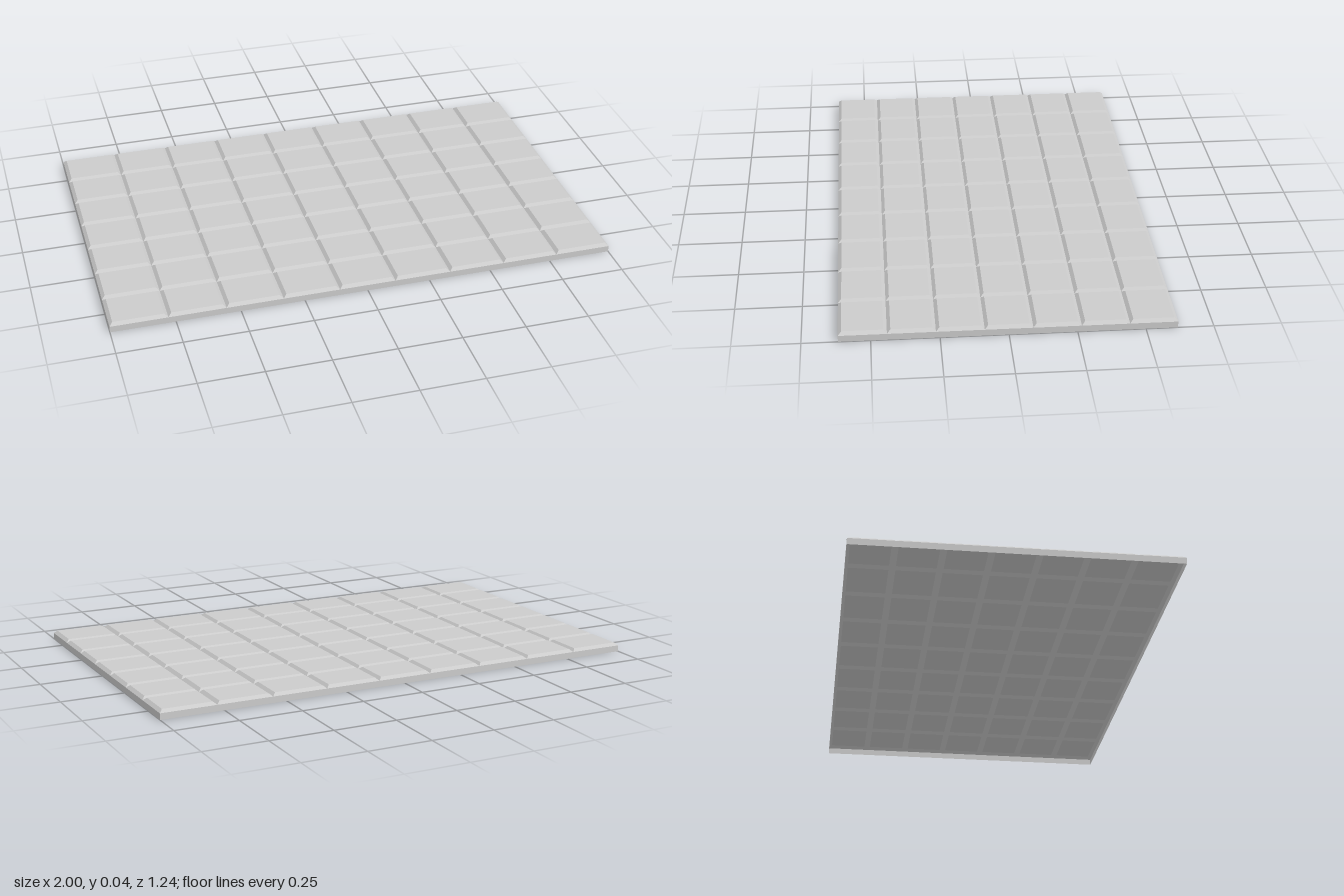
import * as THREE from 'three';

const COLS = 9, ROWS = 7;
const WIDTH = 2, DEPTH = 1.235;
const SKIRT = 0.025, HEIGHT = 0.036, BEVEL = 0.013;

// Box without the listed faces (0 +x, 1 -x, 2 +y, 3 -y, 4 +z, 5 -z), standing on y = 0
function openBox(w, h, d, removed) {
  const geo = new THREE.BoxGeometry(w, h, d).translate(0, h / 2, 0);
  const index = Array.from(geo.index.array);
  geo.setIndex(index.filter((_, i) => !removed.includes(Math.floor(i / 6))));
  geo.clearGroups();
  return geo;
}

// Open-bottomed tile cap whose top edge is pulled in to form the bevels
function bevelledTile(w, d) {
  const geo = openBox(w, HEIGHT - SKIRT, d, [3]);
  const p = geo.attributes.position;
  for (let i = 0; i < p.count; i++) {
    if (p.getY(i) > 0.001) {
      p.setX(i, p.getX(i) - Math.sign(p.getX(i)) * BEVEL);
      p.setZ(i, p.getZ(i) - Math.sign(p.getZ(i)) * BEVEL);
    }
  }
  geo.computeVertexNormals();
  return geo;
}

export function createModel() {
  const model = new THREE.Group();
  model.name = 'tiledPanel';
  const material = new THREE.MeshStandardMaterial({
    color: 0xcccccc, flatShading: true, side: THREE.DoubleSide,
  });

  // Thin wall around the hollow underside
  const skirt = new THREE.Mesh(openBox(WIDTH, SKIRT, DEPTH, [2, 3]), material);
  skirt.name = 'outerSkirt';
  model.add(skirt);

  // Grid of bevelled tiles; neighbouring bevels meet in V grooves
  const tiles = new THREE.Group();
  tiles.name = 'tiles';
  const w = WIDTH / COLS, d = DEPTH / ROWS;
  const tileGeo = bevelledTile(w, d);
  for (let r = 0; r < ROWS; r++) {
    for (let c = 0; c < COLS; c++) {
      const tile = new THREE.Mesh(tileGeo, material);
      tile.name = `tileRow${r + 1}Column${c + 1}`;
      tile.position.set((c + 0.5) * w - WIDTH / 2, SKIRT, (r + 0.5) * d - DEPTH / 2);
      tiles.add(tile);
    }
  }
  model.add(tiles);
  return model;
}
